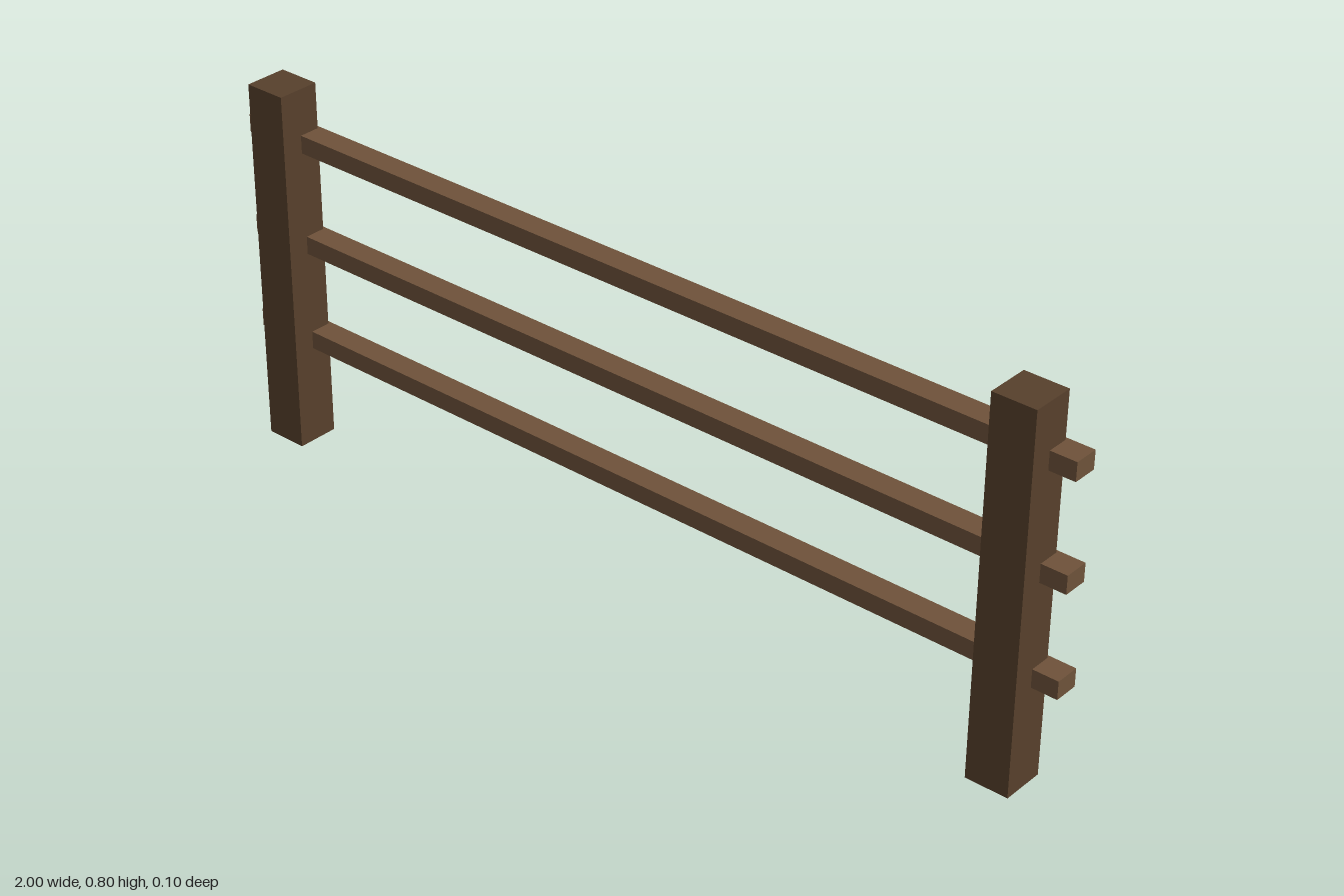
import * as THREE from 'three';

export function createModel() {
  const fence = new THREE.Group();
  fence.name = 'fence';
  const postWood = new THREE.MeshStandardMaterial({ color: 0x57402c });
  const railWood = new THREE.MeshStandardMaterial({ color: 0x6e523a });

  const addBeam = (name, size, position, material) => {
    const beam = new THREE.Mesh(new THREE.BoxGeometry(...size), material);
    beam.name = name;
    beam.position.set(...position);
    fence.add(beam);
  };

  // Square upright posts
  for (const [name, side] of [['leftPost', 1], ['rightPost', -1]]) {
    addBeam(name, [0.093, 0.8, 0.093], [side * 0.898, 0.4, 0.0035], postWood);
  }

  // Horizontal rails, let into the back of the posts
  const railHeights = { lowerRail: 0.235, middleRail: 0.455, upperRail: 0.681 };
  for (const [name, y] of Object.entries(railHeights)) {
    addBeam(name, [2, 0.039, 0.053], [0, y, -0.0235], railWood);
  }

  return fence;
}
